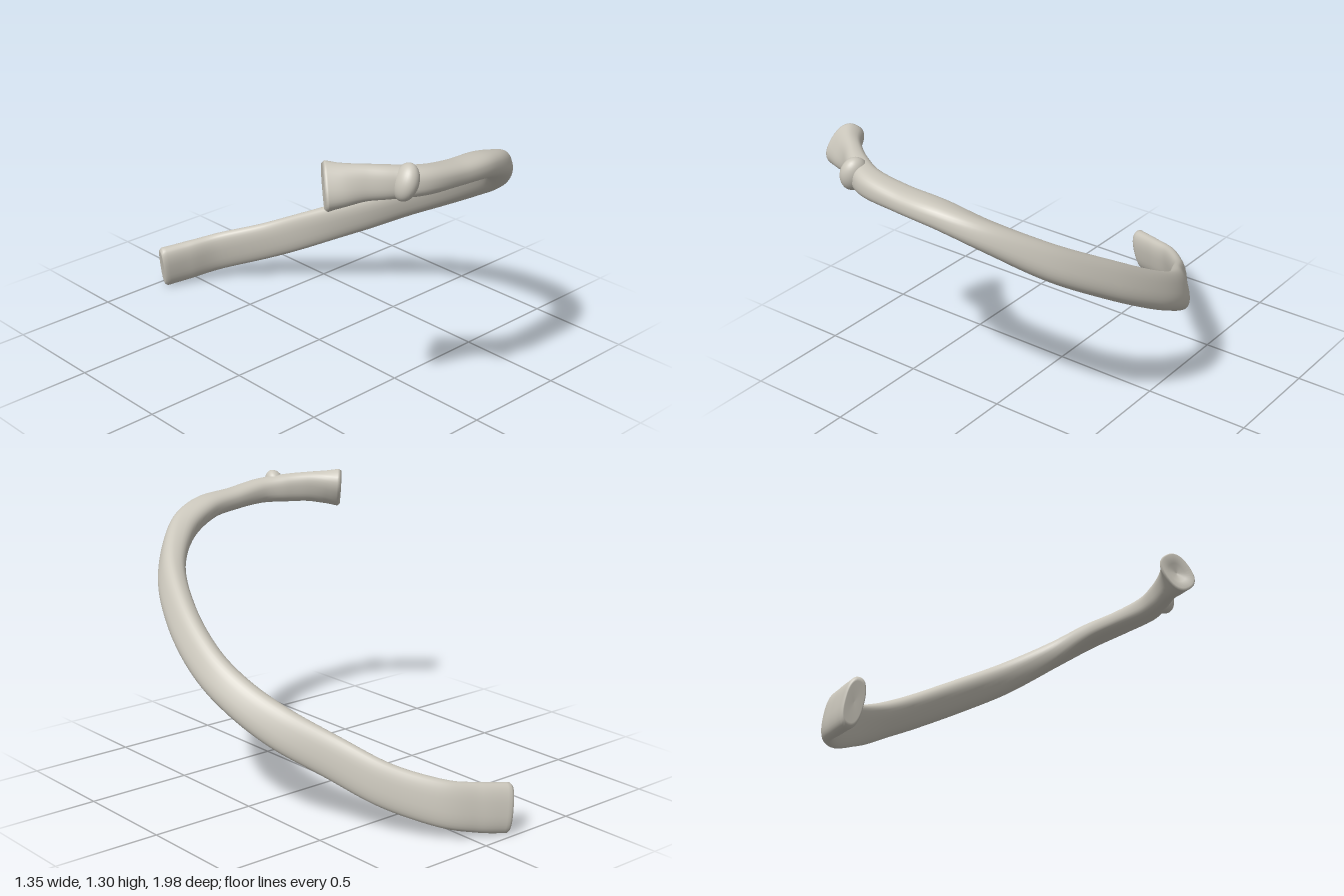
import * as THREE from 'three';

// Stations from the jointed head round to the cut end:
// centre x, y, z, half thickness, half height, inward lean (degrees)
const STATIONS = [
  [-0.635, 1.205, 0.715, 0.068, 0.102, 33],
  [-0.585, 1.208, 0.755, 0.056, 0.088, 25],
  [-0.51, 1.212, 0.805, 0.045, 0.075, 12],
  [-0.42, 1.208, 0.865, 0.05, 0.069, 5],
  [-0.30, 1.200, 0.922, 0.062, 0.06, 0],
  [-0.13, 1.182, 0.925, 0.067, 0.052, 0],
  [0.06, 1.160, 0.908, 0.072, 0.056, 5],
  [0.245, 1.085, 0.835, 0.066, 0.064, 18],
  [0.43, 0.945, 0.655, 0.058, 0.077, 25],
  [0.545, 0.795, 0.41, 0.054, 0.083, 27],
  [0.59, 0.655, 0.17, 0.052, 0.085, 27],
  [0.57, 0.545, -0.03, 0.052, 0.088, 25],
  [0.495, 0.438, -0.225, 0.045, 0.094, 17],
  [0.37, 0.332, -0.43, 0.036, 0.095, 10],
  [0.245, 0.232, -0.635, 0.035, 0.098, 8],
  [0.085, 0.164, -0.815, 0.037, 0.104, 9],
  [-0.06, 0.132, -0.895, 0.042, 0.11, 10],
  [-0.18, 0.115, -0.945, 0.045, 0.112, 10],
];
const RINGS = 150;
const SIDES = 32;

// Sweeps a rounded, leaning oval along the stations
function sweptBone() {
  const path = new THREE.CatmullRomCurve3(
    STATIONS.map((s) => new THREE.Vector3(s[0], s[1], s[2])), false, 'catmullrom');
  const size = new THREE.CatmullRomCurve3(
    STATIONS.map((s) => new THREE.Vector3(s[3], s[4], THREE.MathUtils.degToRad(s[5]))), false, 'catmullrom');
  const positions = [];
  const indices = [];
  const up = new THREE.Vector3(0, 1, 0);
  const soften = (v) => Math.sign(v) * Math.pow(Math.abs(v), 0.82);

  const addRing = (u, scale, shift) => {
    const tangent = path.getTangent(u);
    const centre = path.getPoint(u).addScaledVector(tangent, shift);
    const s = size.getPoint(u);
    const side = up.clone().cross(tangent).normalize();
    const high = tangent.clone().cross(side);
    const inward = side.clone().applyAxisAngle(tangent, -s.z);
    const tall = high.clone().applyAxisAngle(tangent, -s.z);
    // lean the top of the section toward the inside of the curve
    if (tall.dot(side) * s.z < 0) {
      inward.copy(side).applyAxisAngle(tangent, s.z);
      tall.copy(high).applyAxisAngle(tangent, s.z);
    }
    for (let j = 0; j < SIDES; j++) {
      const a = (j / SIDES) * Math.PI * 2;
      const p = centre.clone()
        .addScaledVector(inward, s.x * scale * soften(Math.cos(a)))
        .addScaledVector(tall, s.y * scale * soften(Math.sin(a)));
      positions.push(p.x, p.y, p.z);
    }
  };

  // head face is slightly hollow, the far end nearly flat
  addRing(0, 0.02, 0.015);
  addRing(0, 0.5, 0.004);
  addRing(0, 0.9, -0.012);
  for (let i = 0; i <= RINGS; i++) addRing(i / RINGS, 1, 0);
  addRing(1, 0.9, 0.012);
  addRing(1, 0.8, 0.013);
  addRing(1, 0.02, 0.01);

  const count = positions.length / 3 / SIDES;
  for (let i = 0; i < count - 1; i++) {
    for (let j = 0; j < SIDES; j++) {
      const k = (j + 1) % SIDES;
      const a = i * SIDES + j, b = i * SIDES + k;
      indices.push(a, b, a + SIDES, b, b + SIDES, a + SIDES);
    }
  }
  // close the tiny holes at both ends
  const last = (count - 1) * SIDES;
  for (let j = 1; j < SIDES - 1; j++) {
    indices.push(0, j + 1, j, last, last + j, last + j + 1);
  }
  const geometry = new THREE.BufferGeometry();
  geometry.setAttribute('position', new THREE.Float32BufferAttribute(positions, 3));
  geometry.setIndex(indices);
  geometry.computeVertexNormals();
  return geometry;
}

export function createModel() {
  const group = new THREE.Group();
  group.name = 'ribBone';
  const bone = new THREE.MeshStandardMaterial({ color: 0xcbc7bc });
  bone.name = 'bone';

  const shaft = new THREE.Mesh(sweptBone(), bone);
  shaft.name = 'ribShaft';
  group.add(shaft);

  // knob where the neck meets the shaft
  const knob = new THREE.Mesh(new THREE.SphereGeometry(1, 32, 20), bone);
  knob.name = 'tubercle';
  knob.scale.set(0.05, 0.08, 0.062);
  knob.position.set(-0.395, 1.216, 0.918);
  knob.rotation.set(0, -0.4, -0.3);
  group.add(knob);
  return group;
}
